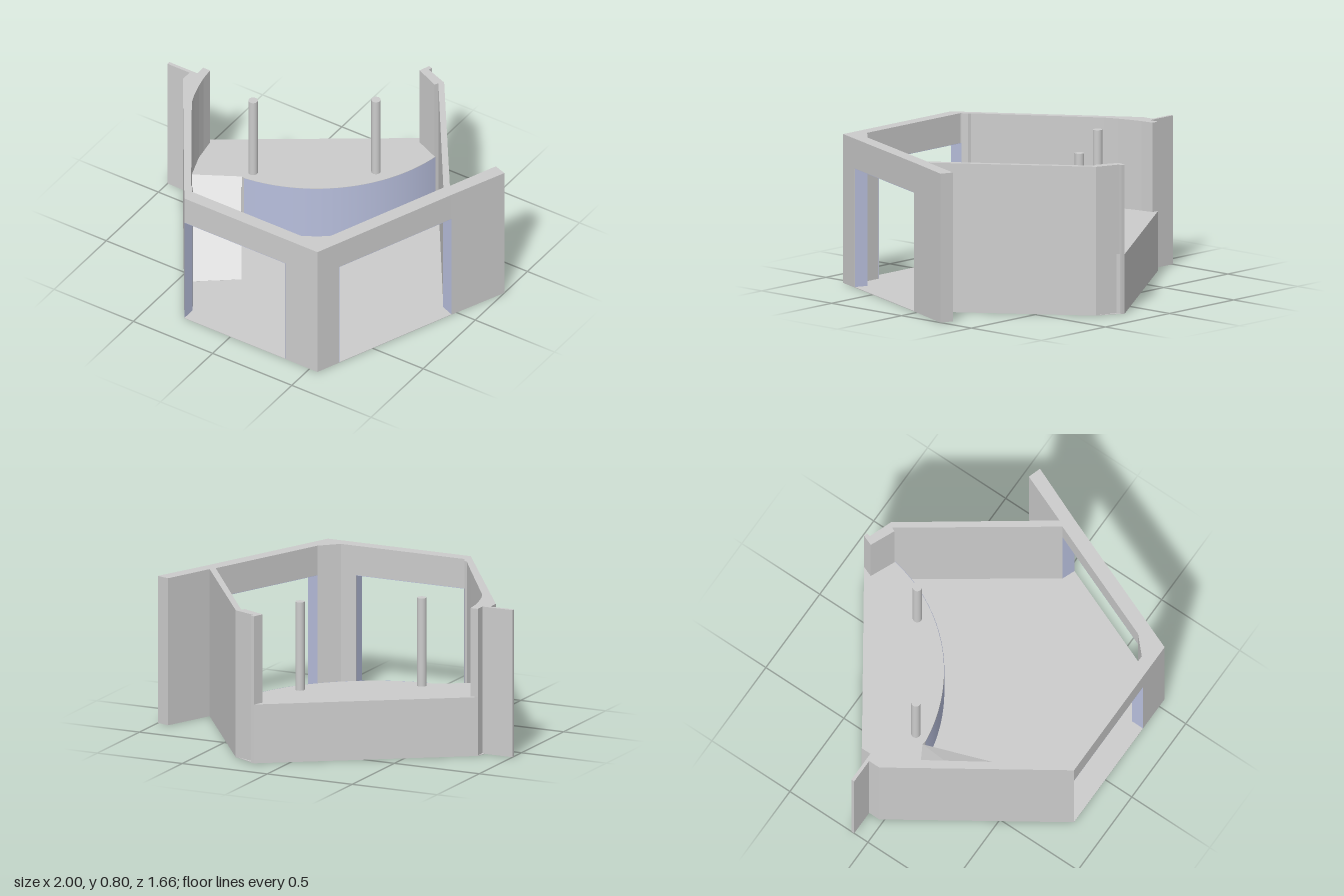
import * as THREE from 'three';

const WALL = 0.8, HEAD = 0.64, DECK = 0.32;
const grey = new THREE.MeshStandardMaterial({ color: 0xcccccc });
const blue = new THREE.MeshStandardMaterial({ color: 0xb8bfdd });
blue.side = THREE.DoubleSide;

export function createModel() {
  const model = new THREE.Group();

  function add(name, geometry, material = grey) {
    const mesh = new THREE.Mesh(geometry, material);
    mesh.name = name;
    model.add(mesh);
    return mesh;
  }
  // Upright solid from a plan outline of [x, z] corners
  function prism(plan, y0, y1) {
    const shape = new THREE.Shape(plan.map(([x, z]) => new THREE.Vector2(x, -z)));
    const g = new THREE.ExtrudeGeometry(shape, { depth: y1 - y0, bevelEnabled: false });
    return g.rotateX(-Math.PI / 2).translate(0, y0, 0);
  }
  // Thin upright lining between two plan points
  function lining(name, [x0, z0], [x1, z1], height) {
    const g = new THREE.PlaneGeometry(Math.hypot(x1 - x0, z1 - z0), height);
    g.rotateY(-Math.atan2(z1 - z0, x1 - x0));
    add(name, g.translate((x0 + x1) / 2, height / 2, (z0 + z1) / 2), blue);
  }

  // Floor
  add('floor', prism([[-0.29, 0.83], [0.55, 0.83], [0.87, 0.03], [0.82, -0.03], [0.307, -0.755],
    [0.163, -0.829], [-0.824, -0.163], [-0.861, -0.024]], 0, 0.003));

  // Left-hand wall with its rear return and side fin
  add('sideWall', prism([[-0.29, 0.83], [-0.861, -0.024], [-0.861, -0.088], [-1, -0.088], [-1, -0.106],
    [-0.824, -0.106], [-0.824, -0.163], [-0.781, -0.163], [-0.773, -0.09], [-0.758, -0.02], [-0.738, 0.05],
    [-0.71, 0.12], [-0.43, 0.55], [-0.323, 0.717], [-0.307, 0.723], [-0.29, 0.755]], 0, WALL));

  // Corner post between the two openings, and the header above them
  add('cornerPost', prism([[0.35, 0.83], [0.55, 0.83], [0.602, 0.70], [0.532, 0.672],
    [0.44, 0.76], [0.35, 0.76]], 0, HEAD));
  const header = [[-0.29, 0.83], [0.55, 0.83], [0.87, 0.03], [0.80, 0.002], [0.532, 0.672],
    [0.44, 0.76], [-0.29, 0.76]];
  add('header', prism(header, HEAD, WALL));

  // Angled wing, thin rear wall and its return
  add('rearWall', prism([[0.87, 0.03], [1, -0.28], [0.93, -0.303], [0.82, -0.03], [0.307, -0.755],
    [0.179, -0.803], [0.184, -0.824], [0.163, -0.829], [0.141, -0.771], [0.275, -0.712],
    [0.285, -0.733], [0.80, 0.002]], 0, WALL));

  // Tinted linings of the openings
  lining('frontJambLeft', [-0.289, 0.755], [-0.289, 0.83], HEAD);
  lining('frontJambRight', [0.349, 0.76], [0.349, 0.83], HEAD);
  lining('sideJambFront', [0.6025, 0.699], [0.5325, 0.671], HEAD);
  lining('sideJambRear', [0.8695, 0.031], [0.7995, 0.003], HEAD);
  add('frontSoffit', prism([[-0.29, 0.83], [0.35, 0.83], [0.35, 0.76], [-0.29, 0.76]], HEAD - 0.002, HEAD), blue);
  add('sideSoffit', prism([[0.602, 0.70], [0.87, 0.03], [0.80, 0.002], [0.532, 0.672]], HEAD - 0.002, HEAD), blue);

  // Raised deck with a curved front
  const cx = -0.56, cz = -0.85, r = 0.85, a0 = 0.117, a1 = 1.407, steps = 32;
  const deck = [[-0.824, -0.163], [-0.781, -0.163], [-0.758, -0.02], [-0.71, 0.12], [-0.48, -0.01]];
  for (let i = 0; i <= steps; i++) {
    const a = a0 + (a1 - a0) * i / steps;
    deck.push([cx + r * Math.sin(a), cz + r * Math.cos(a)]);
  }
  deck.push([0.163, -0.829]);
  add('deck', prism(deck, 0, DECK));
  add('deckFront', new THREE.CylinderGeometry(r + 0.002, r + 0.002, DECK, steps, 1, true, a0, a1 - a0)
    .translate(cx, DECK / 2, cz), blue);

  // Ramp: a block whose two lower corners are dropped to the floor
  const ramp = prism([[-0.71, 0.12], [-0.48, -0.01], [-0.22, 0.39], [-0.43, 0.55]], 0, DECK);
  const p = ramp.attributes.position;
  for (let i = 0; i < p.count; i++) {
    if (p.getZ(i) > 0.3 && p.getY(i) > 0.1) p.setY(i, 0.004);
  }
  ramp.computeVertexNormals();
  add('ramp', ramp);

  // Posts on the deck
  for (const [x, z] of [[0.087, -0.435], [-0.45, -0.073]]) {
    add('deckPost', new THREE.CylinderGeometry(0.025, 0.025, WALL - DECK, 24)
      .translate(x, (WALL + DECK) / 2, z));
  }
  return model;
}
